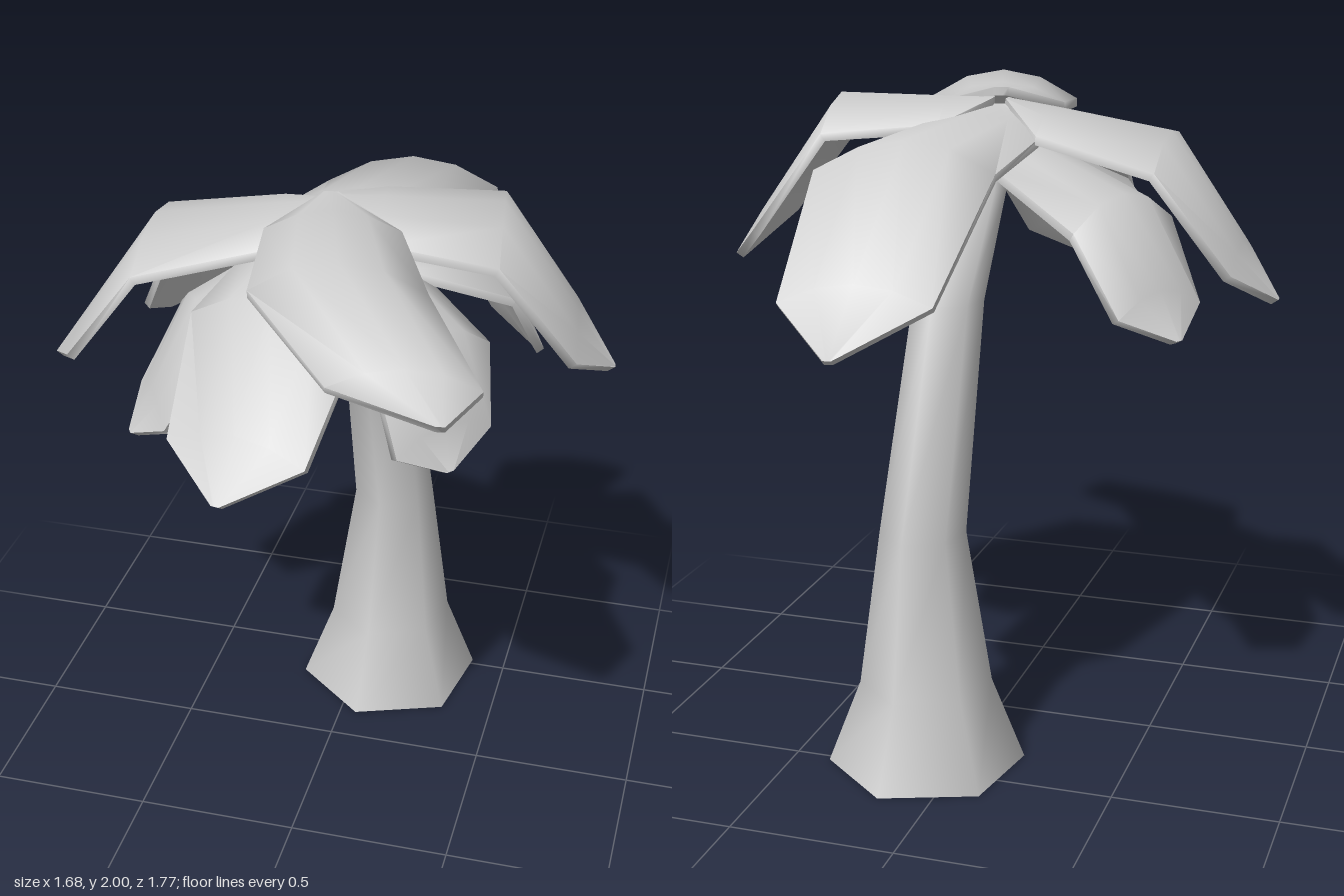
import * as THREE from 'three';
import { toCreasedNormals } from 'three/addons/utils/BufferGeometryUtils.js';

const material = new THREE.MeshStandardMaterial({ color: 0xcccccc });
const openMaterial = new THREE.MeshStandardMaterial({ color: 0xcccccc, side: THREE.DoubleSide });
const V = (a) => new THREE.Vector3(...a);

// Six-sided trunk, open at the foot: a cylinder whose rings follow a bent spine
function makeTrunk() {
  const rings = [ // x, y, z, radius
    [0.105, 0, -0.42, 0.3], [0.105, 0.26, -0.42, 0.2], [0.11, 0.74, -0.42, 0.129],
    [0.07, 1.42, -0.285, 0.105], [0.03, 1.72, -0.11, 0.08], [0.02, 1.92, 0.02, 0.06],
  ];
  const geo = new THREE.CylinderGeometry(1, 1, rings.length - 1, 6, rings.length - 1, true);
  geo.rotateY(THREE.MathUtils.degToRad(50));
  const p = geo.attributes.position;
  for (let i = 0; i < p.count; i++) {
    const [x, y, z, r] = rings[Math.round(p.getY(i) + (rings.length - 1) / 2)];
    p.setXYZ(i, x + p.getX(i) * r, y, z + p.getZ(i) * r);
  }
  const mesh = new THREE.Mesh(toCreasedNormals(geo, 1.2), openMaterial);
  mesh.name = 'trunk';
  return mesh;
}

// Arched leaf blade: thick cross-sections swept over base, knee and tip;
// yaw turns the cross-sections about the vertical for lopsided blades
function makeFrond(name, base, knee, tip, halfWidth, yaw = 0) {
  const [b, k, t] = [V(base), V(knee), V(tip)];
  const rows = [ // spine point, half width, edge droop
    [b, 0.02, 0],
    [b.clone().lerp(k, 0.28), halfWidth * 0.8, 0.06],
    [k, halfWidth, 0.09],
    [k.clone().lerp(t, 0.66), halfWidth * 0.84, 0.06],
    [t, 0.012, 0],
  ];
  const across = [-1, -0.5, 0, 0.5, 1];
  const thickness = 0.026;
  const positions = [], index = [];
  const n = across.length * 2;
  const up = new THREE.Vector3(0, 1, 0);
  const heading = t.clone().sub(b).setY(0).normalize().applyAxisAngle(up, yaw);
  const side = up.clone().cross(heading);

  rows.forEach(([point, width, droop], i) => {
    const before = rows[Math.max(i - 1, 0)][0];
    const after = rows[Math.min(i + 1, rows.length - 1)][0];
    const normal = after.clone().sub(before).cross(side).normalize();
    const put = (s, depth) => positions.push(...point.clone()
      .addScaledVector(side, s * width)
      .addScaledVector(up, -droop * s * s)
      .addScaledVector(normal, -depth).toArray());
    across.forEach((s) => put(s, 0));
    [...across].reverse().forEach((s) => put(s, thickness));
  });

  for (let i = 0; i < rows.length - 1; i++) {
    for (let j = 0; j < n; j++) {
      const a = i * n + j, c = i * n + (j + 1) % n;
      index.push(a, a + n, c + n, a, c + n, c);
    }
  }
  const last = (rows.length - 1) * n;
  for (let j = 1; j < n - 1; j++) {
    index.push(0, j, j + 1, last, last + j + 1, last + j);
  }
  const geo = new THREE.BufferGeometry();
  geo.setAttribute('position', new THREE.Float32BufferAttribute(positions, 3));
  geo.setIndex(index);
  const mesh = new THREE.Mesh(toCreasedNormals(geo, 1.25), material);
  mesh.name = name;
  return mesh;
}

export function createModel() {
  const model = new THREE.Group();
  model.name = 'palmTree';
  model.add(makeTrunk());

  // Wide upper fronds
  const upper = new THREE.Group();
  upper.name = 'upperFronds';
  upper.add(
    makeFrond('leftFrond', [0.03, 1.975, 0.03], [0.50, 1.98, -0.02], [0.84, 1.475, -0.08], 0.26),
    makeFrond('rightFrond', [0.0, 1.97, 0.07], [-0.50, 1.89, 0.10], [-0.84, 1.40, 0.10], 0.26),
    makeFrond('backFrond', [0.02, 1.955, 0.04], [0.14, 1.91, -0.46], [0.21, 1.375, -0.885], 0.26, 0.35),
    makeFrond('frontFrond', [0.02, 2.0, 0.08], [0.155, 2.0, 0.53], [0.51, 1.75, 0.885], 0.24, -0.35),
  );

  // Steeper lower fronds
  const lower = new THREE.Group();
  lower.name = 'lowerFronds';
  lower.add(
    makeFrond('lowerFrontFrond', [0.0, 1.90, 0.10], [-0.05, 1.83, 0.45], [-0.12, 1.36, 0.79], 0.25),
    makeFrond('lowerFrontRightFrond', [-0.02, 1.88, 0.06], [-0.33, 1.71, 0.27], [-0.52, 1.30, 0.36], 0.19),
    makeFrond('lowerBackRightFrond', [0.0, 1.90, 0.0], [-0.45, 1.76, -0.27], [-0.64, 1.37, -0.37], 0.2),
    makeFrond('lowerFrontLeftFrond', [0.05, 1.88, 0.06], [0.37, 1.70, 0.28], [0.45, 1.33, 0.40], 0.2),
    makeFrond('lowerBackLeftFrond', [0.04, 1.88, 0.02], [0.43, 1.75, -0.23], [0.57, 1.40, -0.34], 0.2),
  );
  model.add(upper, lower);
  return model;
}
